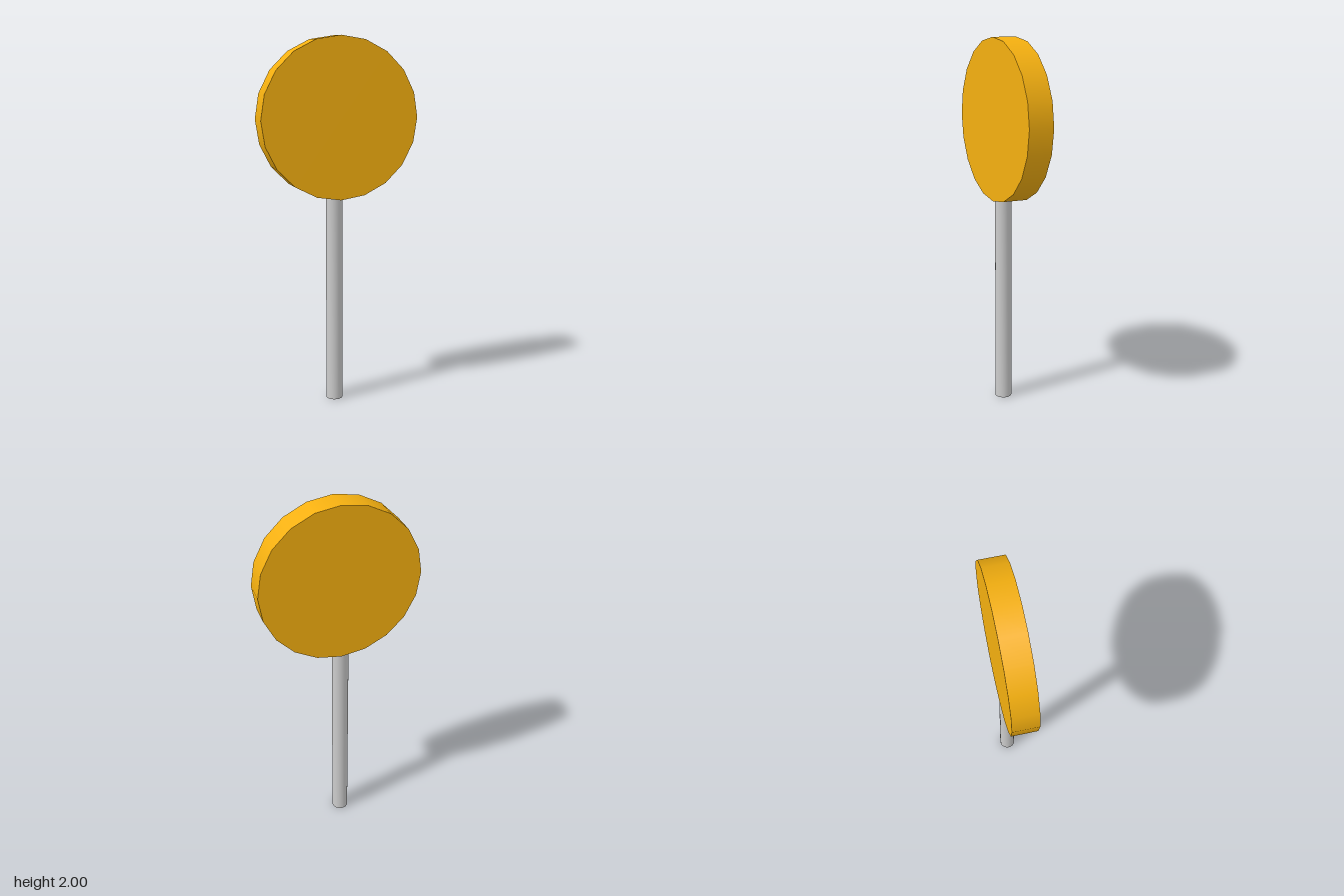
import * as THREE from 'three';
import { toCreasedNormals } from 'three/addons/utils/BufferGeometryUtils.js';

export function createModel() {
  const model = new THREE.Group();
  const grey = new THREE.MeshStandardMaterial({ color: 0xcccccc });
  const gold = new THREE.MeshStandardMaterial({ color: 0xf5b010 });

  // Round head: a 20-sided disc on edge, turned about the vertical
  const radius = 0.4315, thickness = 0.135;
  const discGeometry = new THREE.CylinderGeometry(radius, radius, thickness, 20);
  discGeometry.rotateZ(Math.PI / 2);
  const disc = new THREE.Mesh(discGeometry, gold);
  disc.name = 'disc';
  disc.position.y = 2 - radius;
  disc.rotation.y = THREE.MathUtils.degToRad(-32.2);
  model.add(disc);

  // Hollow stick, its top end sunk into the disc
  const inner = 0.02, outer = 0.045, top = 1.16;
  const profile = [[inner, top], [inner, 0], [outer, 0], [outer, top], [inner, top]]
    .map(([r, y]) => new THREE.Vector2(r, y));
  const stick = new THREE.Mesh(toCreasedNormals(new THREE.LatheGeometry(profile, 24), 0.7), grey);
  stick.name = 'stick';
  stick.position.set(-0.01, 0, 0.013);
  model.add(stick);

  return model;
}
